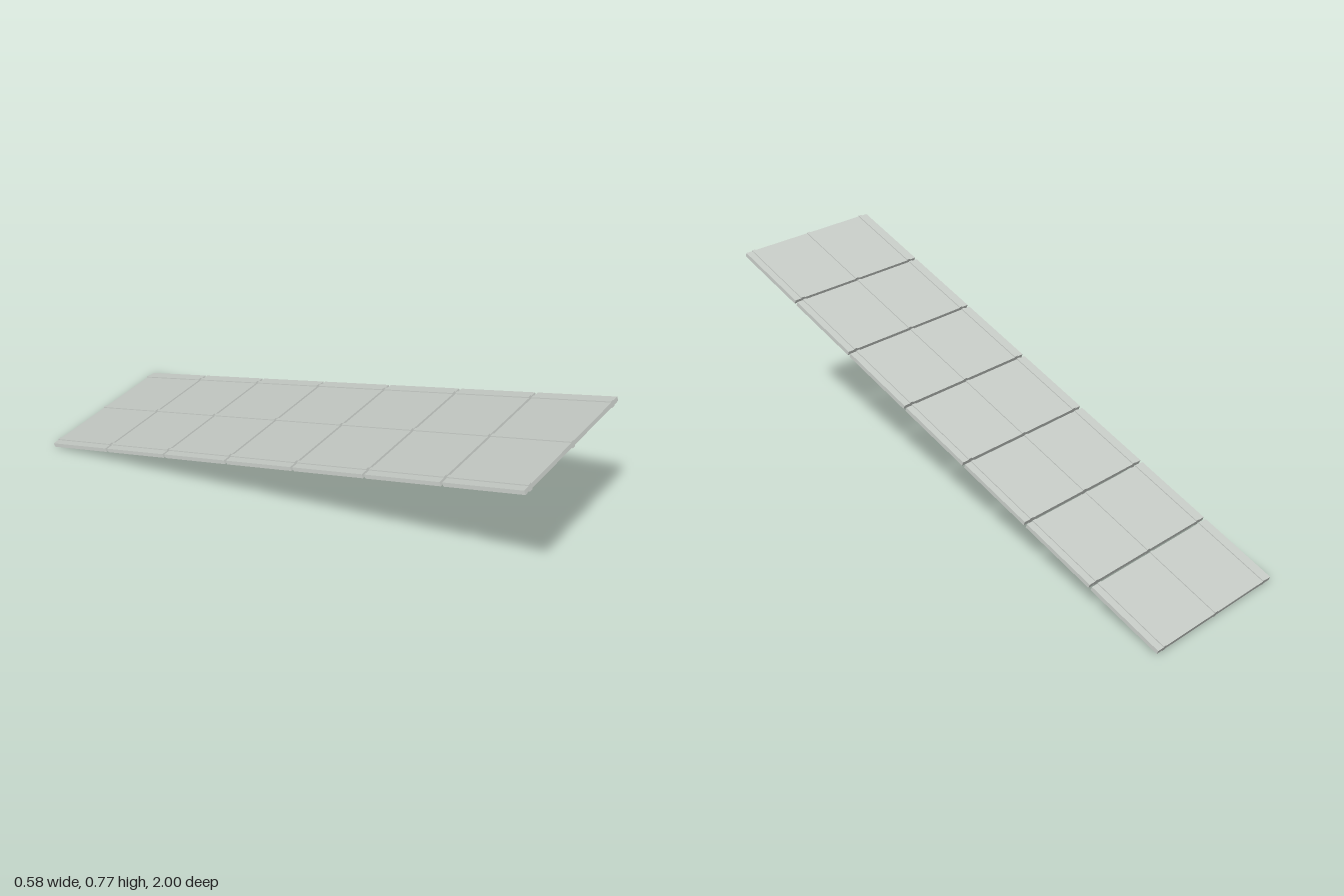
import * as THREE from 'three';

const TILT = 0.3595;      // slope of the whole deck, in radians
const LENGTH = 2.128;     // length along the slope
const COUNT = 7;
const GAP = 0.01;
const RAIL_HEIGHT = 0.0225;

export function createModel() {
  const model = new THREE.Group();
  model.name = 'slopedDeck';
  const paleGrey = new THREE.MeshStandardMaterial({ name: 'paleGrey', color: 0xc8cdc8 });

  const segment = (LENGTH - GAP * (COUNT - 1)) / COUNT;
  const slabGeometry = new THREE.BoxGeometry(0.578, 0.015, segment);
  const railGeometry = new THREE.BoxGeometry(0.014, RAIL_HEIGHT, segment);

  // Tilted so the front end is high and the rear end touches the ground
  const deck = new THREE.Group();
  deck.name = 'deck';
  deck.rotation.x = -TILT;
  deck.position.y = (LENGTH * Math.sin(TILT) + RAIL_HEIGHT * Math.cos(TILT)) / 2;
  model.add(deck);

  // Seven separate sections, each a slab with three slightly thicker ribs
  for (let i = 0; i < COUNT; i++) {
    const section = new THREE.Group();
    section.name = `section${i + 1}`;
    section.position.z = (i - (COUNT - 1) / 2) * (segment + GAP);

    const slab = new THREE.Mesh(slabGeometry, paleGrey);
    slab.name = 'slab';
    section.add(slab);

    for (const x of [-0.256, 0, 0.256]) {
      const rail = new THREE.Mesh(railGeometry, paleGrey);
      rail.name = 'rail';
      rail.position.x = x;
      section.add(rail);
    }
    deck.add(section);
  }
  return model;
}
